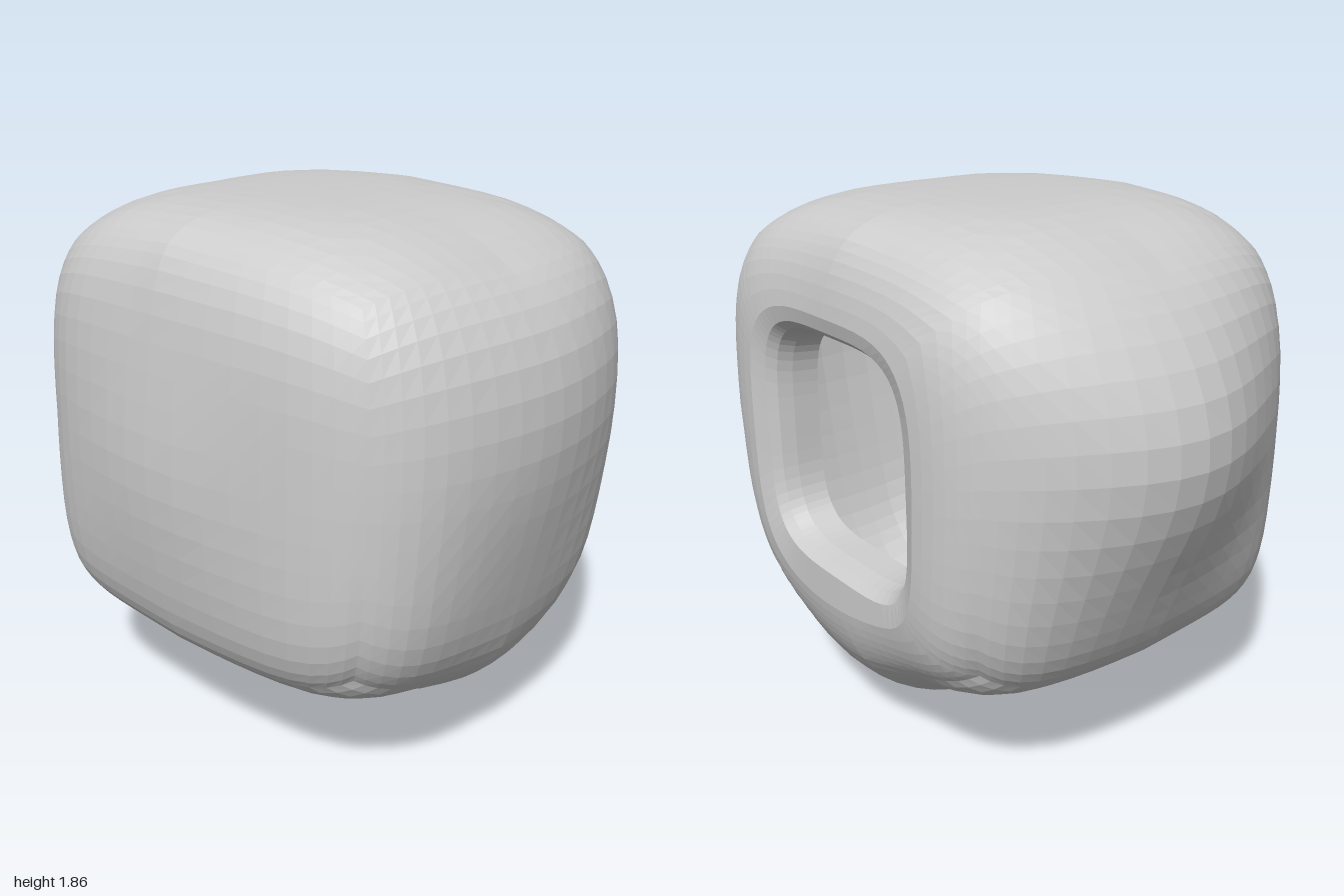
import * as THREE from 'three';

const N = 18; // segments along each cube edge
const MID_Y = 1.1;

// half sizes of the rounded block on either side of its middle
const SIZE = { xPos: 0.77, xNeg: 0.7, yPos: 0.76, yNeg: 0.72, zPos: 0.86, zNeg: 0.72 };
const OPENING = { y: 1.065, z: 0.045 };

const bell = (a, b, s) => Math.exp(-(a * a + b * b) / (2 * s * s));
const spread = (t) => 0.65 * t + 0.35 * Math.sin((t * Math.PI) / 2);

// how sharp the rounding is: level edges and upright edges differ
function sharpness(a, b, c) {
  const A = Math.abs(a), C = Math.abs(c);
  const level = 5 - 1.5 * b + 2 * Math.max(0, b) * Math.max(0, A - C);
  const upright = b > 0 ? 4.4 - 0.3 * b : 4.4 + 0.6 * b * (a + c);
  return level + (upright - level) * A * C;
}

// maps a point of the unit cube's surface to the lumpy rounded block
function skin(a, b, c) {
  const n = sharpness(a, b, c);
  const k = Math.pow(Math.abs(a) ** n + Math.abs(b) ** n + Math.abs(c) ** n, -1 / n);
  const qx = a * k, qy = b * k, qz = c * k;
  const x = qx * (qx > 0 ? SIZE.xPos : SIZE.xNeg);
  const y = MID_Y + qy * (qy > 0 ? SIZE.yPos : SIZE.yNeg);
  const z = qz * (qz > 0 ? SIZE.zPos : SIZE.zNeg);
  const out = new THREE.Vector3(x, y, z);
  // bulges pulled out of the closed side, back, front and underside
  out.x -= Math.max(0, -qx) * 0.055 * bell(y - 1.05, z, 0.28);
  out.z -= Math.max(0, -qz) * 0.28 * bell(x - 0.1, y - 1.23, 0.35);
  out.z += Math.max(0, qz) * 0.14 * bell(x - 0.03, y - 1.28, 0.38);
  const dx = x - 0.21, dz = z - 0.21;
  const drop = bell(dx / (dx > 0 ? 0.35 : 0.315), dz / (dz > 0 ? 0.345 : 0.325), 1);
  out.y -= Math.max(0, -qy) * 0.38 * drop;
  // shallow hollow down the open side
  out.x -= Math.max(0, qx) * 0.04 * Math.exp(-(((z - OPENING.z) / 0.5) ** 4));
  return out;
}

// grid of quads from a point rule
function sheet(cols, rows, rule) {
  const pos = [], index = [];
  for (let j = 0; j <= rows; j++) {
    for (let i = 0; i <= cols; i++) pos.push(...rule(i, j).toArray());
  }
  for (let j = 0; j < rows; j++) {
    for (let i = 0; i < cols; i++) {
      const p = j * (cols + 1) + i, q = p + cols + 1;
      index.push(p, p + 1, q + 1, p, q + 1, q);
    }
  }
  const g = new THREE.BufferGeometry();
  g.setAttribute('position', new THREE.Float32BufferAttribute(pos, 3));
  g.setIndex(index);
  g.computeVertexNormals();
  return g;
}

// walks round the square outline of the open side
function outline(i) {
  const side = Math.floor(i / N) % 4;
  const t = spread(((i % N) / N) * 2 - 1);
  return [[1, t], [-t, 1], [-1, -t], [t, -1]][side];
}

// rounded square opening of a given half size
function openingPoint(i, half) {
  const [b, c] = outline(i);
  const k = half / Math.pow(Math.abs(b) ** 4 + Math.abs(c) ** 4, 0.25);
  return [OPENING.y + b * k, OPENING.z + c * k];
}

// surface point of the open side, t = 0 at its edge and 1 at the opening
function openSide(i, t) {
  const [b, c] = outline(i);
  const [y, z] = openingPoint(i, 0.465);
  const hb = (1.02 * (y - MID_Y)) / (y > MID_Y ? SIZE.yPos : SIZE.yNeg);
  const hc = (1.02 * z) / (z > 0 ? SIZE.zPos : SIZE.zNeg);
  return skin(1, b + (hb - b) * t, c + (hc - c) * t);
}

export function createModel() {
  const model = new THREE.Group();
  model.name = 'hollowBlock';
  const grey = new THREE.MeshStandardMaterial({ color: 0xcccccc });
  grey.name = 'grey';
  grey.flatShading = true;
  grey.side = THREE.DoubleSide;

  const add = (name, geometry) => {
    const mesh = new THREE.Mesh(geometry, grey);
    mesh.name = name;
    model.add(mesh);
  };

  // five closed sides
  const sides = [
    ['closedSide', 0, -1], ['top', 1, 1], ['underside', 1, -1],
    ['front', 2, 1], ['back', 2, -1],
  ];
  for (const [name, axis, sign] of sides) {
    add(name, sheet(N, N, (i, j) => {
      const u = spread((i / N) * 2 - 1), v = spread((j / N) * 2 - 1);
      const d = [0, 0, 0];
      d[axis] = sign;
      d[(axis + 1) % 3] = sign > 0 ? u : v;
      d[(axis + 2) % 3] = sign > 0 ? v : u;
      return skin(...d);
    }));
  }

  // open side, from its outer edge to the opening
  add('openSide', sheet(4 * N, 6, (i, j) => openSide(i, j / 6)));

  // lip turning inwards: [x, half size of the opening]
  const lip = [[0.71, 0.42], [0.68, 0.395], [0.63, 0.38], [0.54, 0.37]];
  add('openingLip', sheet(4 * N, lip.length, (i, j) => {
    if (j === 0) return openSide(i, 1);
    const [x, half] = lip[j - 1];
    const [y, z] = openingPoint(i, half);
    return new THREE.Vector3(x, y, z);
  }));

  return model;
}
